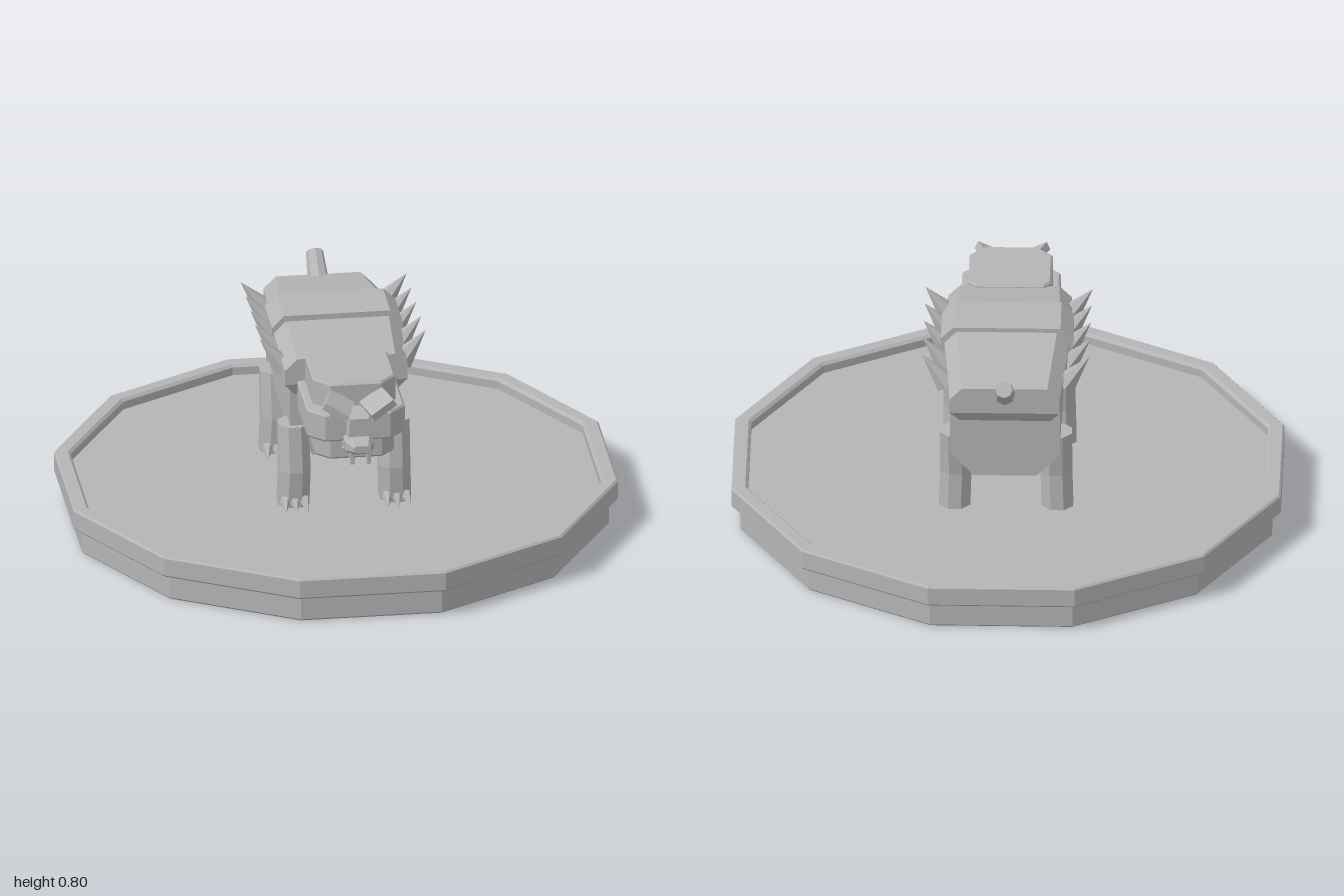
import * as THREE from 'three';
import { ConvexGeometry } from 'three/addons/geometries/ConvexGeometry.js';

const stone = new THREE.MeshStandardMaterial({ color: 0xb4b4b4, flatShading: true });
stone.name = 'grey stone';
const V = (x, y, z) => new THREE.Vector3(x, y, z);

export function createModel() {
  const model = new THREE.Group();
  model.name = 'spikedBeastOnPlinth';

  function add(name, geometry, parent = model) {
    const flat = geometry.index ? geometry.toNonIndexed() : geometry;
    flat.computeVertexNormals();
    const mesh = new THREE.Mesh(flat, stone);
    mesh.name = name;
    parent.add(mesh);
    return mesh;
  }
  function box(name, w, h, d, x, y, z, parent) {
    const mesh = add(name, new THREE.BoxGeometry(w, h, d), parent);
    mesh.position.set(x, y, z);
    return mesh;
  }
  // Tapered rod running from one point to another
  function rod(name, from, to, r0, r1, sides, parent) {
    const dir = to.clone().sub(from);
    const mesh = add(name, new THREE.CylinderGeometry(r1, r0, dir.length(), sides), parent);
    mesh.position.copy(from).addScaledVector(dir, 0.5);
    mesh.quaternion.setFromUnitVectors(V(0, 1, 0), dir.normalize());
    return mesh;
  }
  // Solid with mirrored cross-sections; each section is a z and a list of [x, y]
  function hull(name, sections, parent) {
    const pts = [];
    for (const [z, profile] of sections)
      for (const [x, y] of profile) pts.push(V(x, y, z), V(-x, y, z));
    return add(name, new ConvexGeometry(pts), parent);
  }

  // Twelve-sided plinth with a recessed top; radii are given to the flat sides
  const k = 1 / Math.cos(Math.PI / 12);
  const profile = [[0, 0], [0.96, 0], [0.967, 0.007], [0.967, 0.1], [0.993, 0.1], [1, 0.107],
    [1, 0.173], [0.993, 0.18], [0.95, 0.18], [0.94, 0.17], [0.94, 0.14], [0, 0.14]]
    .map(([r, y]) => new THREE.Vector2(r * k, y));
  add('plinth', new THREE.LatheGeometry(profile, 12, Math.PI / 12));

  // Trunk with a keel-like belly
  const trunk = [[0.115, 0.33], [0.2, 0.42], [0.2, 0.66]];
  hull('trunk', [[0.23, trunk], [-0.42, trunk]]);

  // Three overlapping back plates
  const plate = (top, bottom, w) =>
    [[w - 0.045, top], [w, top - 0.045], [w, top - 0.1], [w - 0.035, bottom]];
  hull('frontBackPlate', [[0.28, plate(0.735, 0.66, 0.225)], [0.26, plate(0.735, 0.59, 0.225)],
    [0.0, plate(0.785, 0.625, 0.235)]]);
  hull('middleBackPlate', [[0.035, plate(0.8, 0.64, 0.24)], [-0.165, plate(0.8, 0.64, 0.24)]]);
  hull('rearBackPlate', [[-0.13, plate(0.79, 0.625, 0.23)], [-0.49, plate(0.725, 0.66, 0.2)],
    [-0.462, plate(0.72, 0.58, 0.2)]]);

  rod('tail', V(0, 0.68, -0.45), V(0, 0.773, -0.58), 0.042, 0.032, 8);

  // Side spikes
  const spikes = new THREE.Group();
  spikes.name = 'sideSpikes';
  model.add(spikes);
  for (const s of [-1, 1])
    for (const z of [0.18, 0.055, -0.075, -0.205, -0.335])
      rod('spike', V(s * 0.215, 0.665, z), V(s * 0.305, 0.78, z), 0.045, 0, 6, spikes);

  // Legs: eight-sided columns bent at the knee, with three claws each
  function leg(name, s, rings) {
    const group = new THREE.Group();
    group.name = name;
    model.add(group);
    const geo = new THREE.CylinderGeometry(1, 1, 1, 8, 2);
    geo.rotateY(Math.PI / 8);
    const pos = geo.attributes.position;
    for (let i = 0; i < pos.count; i++) {
      const [y, cx, cz, r] = rings[Math.round((0.5 - pos.getY(i)) * 2)];
      pos.setXYZ(i, s * cx + pos.getX(i) * r, y, cz + pos.getZ(i) * r);
    }
    add('column', geo, group);
    const [, footX, footZ] = rings[2];
    for (const d of [-1, 0, 1])
      rod('claw', V(s * footX + d * 0.035, 0.168, footZ + 0.045),
        V(s * footX + d * 0.04, 0.145, footZ + 0.12), 0.02, 0, 5, group);
  }
  for (const s of [-1, 1]) {
    const side = s > 0 ? 'Left' : 'Right';
    leg('front' + side + 'Leg', s, [[0.45, 0.185, 0.195, 0.06], [0.28, 0.183, 0.22, 0.062], [0.14, 0.187, 0.212, 0.062]]);
    leg('rear' + side + 'Leg', s, [[0.45, 0.185, -0.295, 0.06], [0.28, 0.183, -0.27, 0.062], [0.14, 0.187, -0.275, 0.062]]);
  }

  // Head: blocks with chamfered corners
  const head = new THREE.Group();
  head.name = 'head';
  model.add(head);
  function block(name, w, y0, y1, z0, z1, c) {
    const e = 0.008;
    const pts = [];
    for (const [y, i] of [[y0, e], [y0 + e, 0], [y1 - e, 0], [y1, e]])
      for (const s of [-1, 1])
        for (const [x, z] of [[w - i, z1 - c], [w - c, z1 - i], [w - i, z0 + c * 0.5], [w - c * 0.5, z0 + i]])
          pts.push(V(s * x, y, z));
    add(name, new ConvexGeometry(pts), head);
  }
  block('skull', 0.152, 0.6, 0.75, 0.255, 0.55, 0.06);
  block('cheekBand', 0.18, 0.54, 0.65, 0.25, 0.597, 0.06);
  block('jaw', 0.145, 0.45, 0.56, 0.29, 0.55, 0.05);

  // Face
  for (const s of [-1, 1]) {
    const brow = box('brow', 0.1, 0.03, 0.11, s * 0.073, 0.685, 0.6, head);
    brow.rotation.set(0.1, s * 0.3, s * 0.5);
    box('eye', 0.05, 0.035, 0.07, s * 0.078, 0.64, 0.577, head);
    box('pupil', 0.02, 0.018, 0.01, s * 0.075, 0.638, 0.614, head);
  }
  hull('noseBridge', [[0.55, [[0.045, 0.66], [0.05, 0.56]]], [0.64, [[0.035, 0.645], [0.04, 0.56]]]], head);
  hull('snout', [
    [0.56, [[0.035, 0.585], [0.055, 0.56], [0.055, 0.52], [0.035, 0.5]]],
    [0.64, [[0.035, 0.575], [0.052, 0.555], [0.052, 0.525], [0.035, 0.505]]],
    [0.71, [[0.022, 0.567], [0.03, 0.56], [0.03, 0.545], [0.022, 0.54]]]], head);
  box('mouth', 0.11, 0.028, 0.03, 0, 0.488, 0.555, head);
  for (const s of [-1, 1])
    rod('fang', V(s * 0.03, 0.52, 0.66), V(s * 0.03, 0.478, 0.664), 0.012, 0.008, 5, head);

  return model;
}
